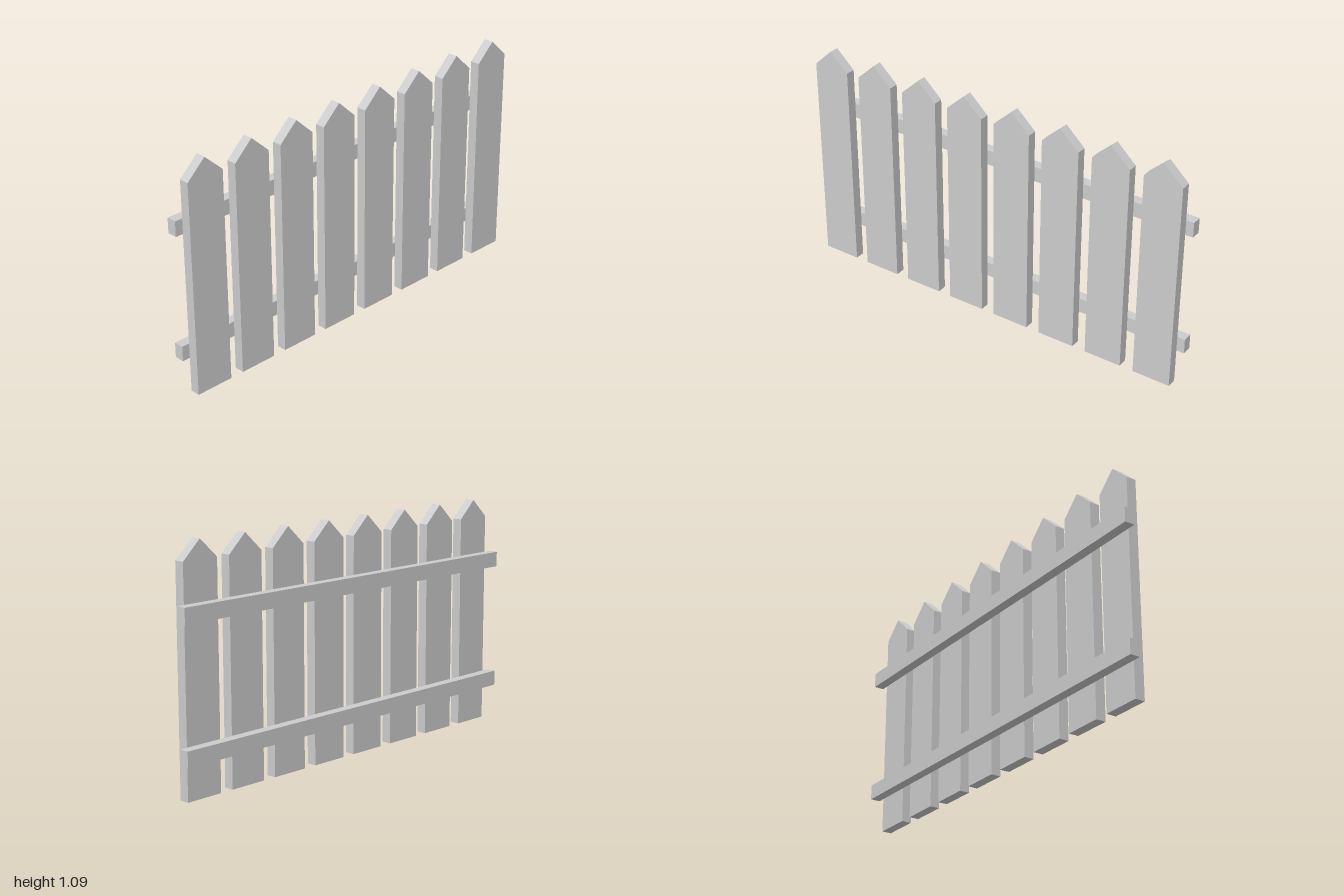
import * as THREE from 'three';

const material = new THREE.MeshStandardMaterial({ color: 0xcccccc, flatShading: true });

const PICKETS = 8;
const SPACING = 0.249;
const HALF_WIDTH = 0.0915;
const SHOULDER = 1.005;
const PEAK = 1.09;
const THICKNESS = 0.047;

export function createModel() {
  const fence = new THREE.Group();
  fence.name = 'picketFence';

  // Pointed pickets, in front of the rails
  const outline = new THREE.Shape([
    new THREE.Vector2(-HALF_WIDTH, 0),
    new THREE.Vector2(HALF_WIDTH, 0),
    new THREE.Vector2(HALF_WIDTH, SHOULDER),
    new THREE.Vector2(0, PEAK),
    new THREE.Vector2(-HALF_WIDTH, SHOULDER),
  ]);
  const picketGeometry = new THREE.ExtrudeGeometry(outline, { depth: THICKNESS, bevelEnabled: false });
  for (let i = 0; i < PICKETS; i++) {
    const picket = new THREE.Mesh(picketGeometry, material);
    picket.name = `picket${i + 1}`;
    picket.position.x = (i - (PICKETS - 1) / 2) * SPACING;
    fence.add(picket);
  }

  // Horizontal rails along the back
  const railGeometry = new THREE.BoxGeometry(2, 0.071, THICKNESS);
  for (const [name, y] of [['lowerRail', 0.2], ['upperRail', 0.794]]) {
    const rail = new THREE.Mesh(railGeometry, material);
    rail.name = name;
    rail.position.set(0, y, -THICKNESS / 2);
    fence.add(rail);
  }

  return fence;
}
